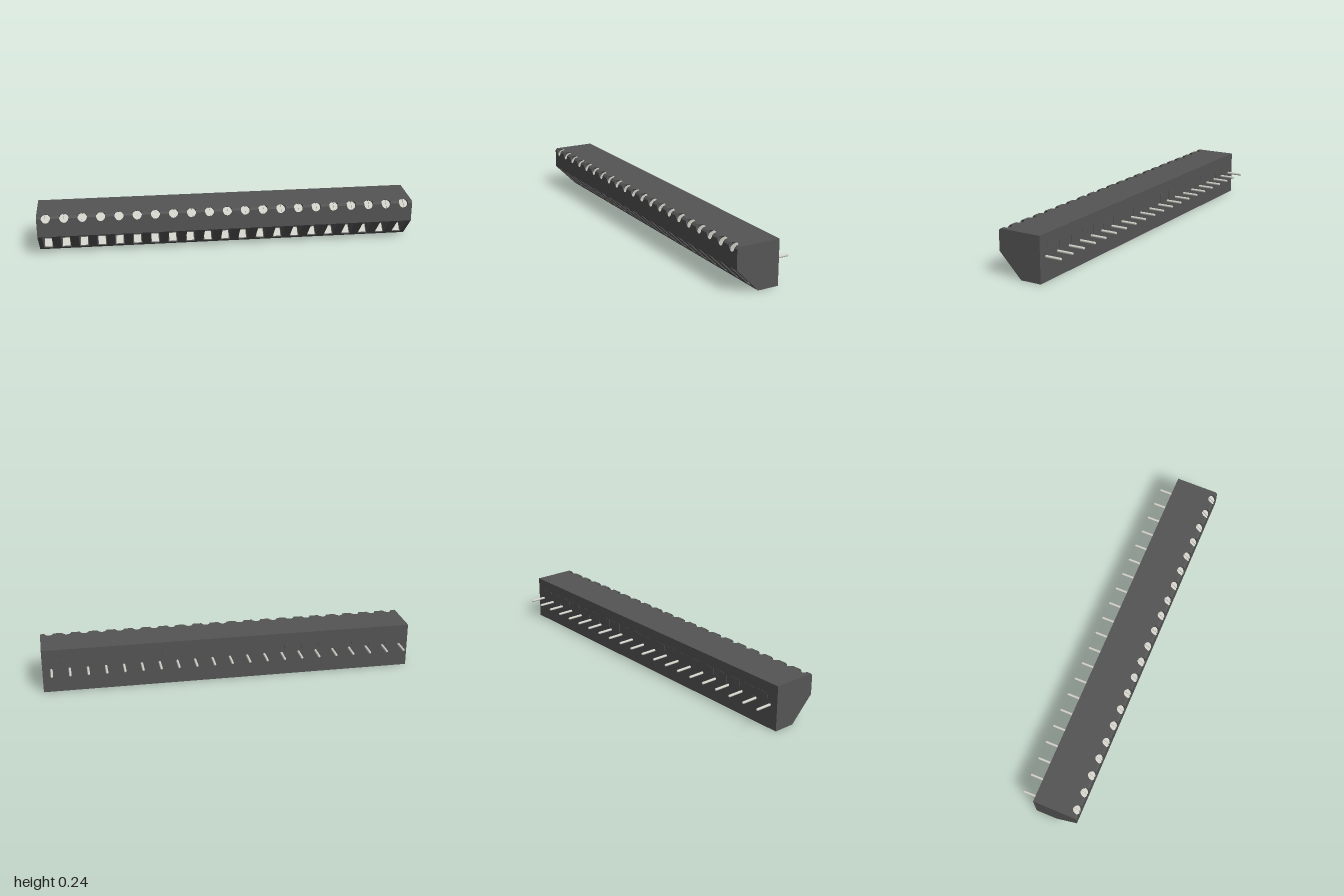
import * as THREE from 'three';

const COUNT = 21, PITCH = 2 / COUNT;
const centres = Array.from({ length: COUNT }, (_, i) => -1 + PITCH * (i + 0.5));
const TOP = 0.238, FRONT = 0.163, BACK = -0.074, KNEE = 0.125, TOE = 0.04;
const CHAMFER = 0.01, R = 0.025, HEAD = 0.024, SLOT = 0.006;

const plastic = new THREE.MeshStandardMaterial({ color: 0x555555, side: THREE.DoubleSide });
const metal = new THREE.MeshStandardMaterial({ color: 0xd0d0c8 });
const V = (x, y, z) => new THREE.Vector3(x, y, z);

function add(parent, name, geometry, material) {
  const mesh = new THREE.Mesh(geometry, material);
  mesh.name = name;
  parent.add(mesh);
  return mesh;
}

// Flat wall: shape axes u and v laid out from an origin, facing u x v
function wall(parent, name, shape, origin, u, v) {
  const m = new THREE.Matrix4().makeBasis(u, v, u.clone().cross(v)).setPosition(origin);
  add(parent, name, new THREE.ShapeGeometry(shape).applyMatrix4(m), plastic);
}

const polygon = pts => new THREE.Shape(pts.map(p => new THREE.Vector2(...p)));
const rect = (x0, y0, x1, y1) => polygon([[x0, y0], [x1, y0], [x1, y1], [x0, y1]]);

// Wall whose chamfered edge is scalloped by the screw holes
function scalloped(length) {
  const a0 = Math.asin(CHAMFER / (R * Math.SQRT2));
  const pts = [[-1, CHAMFER]];
  for (const c of centres) {
    for (let i = 0; i <= 16; i++) {
      const a = Math.PI - a0 - (Math.PI - 2 * a0) * i / 16;
      pts.push([c + R * Math.cos(a), R * Math.SQRT2 * Math.sin(a)]);
    }
  }
  pts.push([1, CHAMFER], [1, length], [-1, length]);
  return polygon(pts);
}

// Round screw hole cut at 45 degrees; local z points out of the hole
function holeGeometry() {
  const pos = [], idx = [], n = 40;
  for (let i = 0; i <= n; i++) {
    const a = i / n * Math.PI * 2, x = R * Math.cos(a), y = R * Math.sin(a);
    pos.push(x, y, -Math.max(Math.abs(y), CHAMFER / Math.SQRT2), x, y, -HEAD - SLOT);
    if (i < n) idx.push(2 * i, 2 * i + 2, 2 * i + 1, 2 * i + 1, 2 * i + 2, 2 * i + 3);
  }
  const g = new THREE.BufferGeometry();
  g.setAttribute('position', new THREE.Float32BufferAttribute(pos, 3));
  g.setIndex(idx);
  g.computeVertexNormals();
  return g;
}

// Half of a slotted screw head
function halfHeadGeometry() {
  const a = Math.acos(0.14), s = new THREE.Shape();
  s.absarc(0, 0, R - 0.0005, -a, a, false);
  s.closePath();
  return new THREE.ExtrudeGeometry(s, { depth: SLOT, bevelEnabled: false, curveSegments: 16 });
}

// Tapered wire pocket: local y runs down the slope, z goes outward
function pocketGeometry(y0, y1, depth) {
  const ring = (w, lo, hi, z) => [V(-w, lo, z), V(w, lo, z), V(w, hi, z), V(-w, hi, z)];
  const outer = ring(0.025, y0, y1, 0), inner = ring(0.02, y0 + 0.006, y1, -depth);
  const pts = [];
  const quad = (a, b, c, d) => pts.push(a, b, c, a, c, d);
  for (let i = 0; i < 4; i++) {
    const j = (i + 1) % 4;
    quad(outer[i], outer[j], inner[j], inner[i]);
  }
  quad(...inner);
  const g = new THREE.BufferGeometry().setFromPoints(pts);
  g.computeVertexNormals();
  return g;
}

export function createModel() {
  const model = new THREE.Group();
  model.name = 'terminalBlock';
  const X = V(1, 0, 0), NX = V(-1, 0, 0), Y = V(0, 1, 0), Z = V(0, 0, 1);

  // Housing walls
  const housing = new THREE.Group();
  housing.name = 'housing';
  model.add(housing);
  wall(housing, 'topWall', scalloped(FRONT - BACK), V(0, TOP, FRONT), X, V(0, 0, -1));
  wall(housing, 'frontWall', scalloped(TOP - KNEE), V(0, TOP, FRONT), NX, V(0, -1, 0));
  wall(housing, 'bottomWall', rect(-1, BACK, 1, TOE), V(0, 0, 0), X, Z);
  wall(housing, 'backWall', rect(-1, 0, 1, TOP), V(0, 0, BACK), NX, Y);
  const profile = sign => polygon([
    [FRONT, TOP - CHAMFER], [FRONT - CHAMFER, TOP], [BACK, TOP], [BACK, 0], [TOE, 0], [FRONT, KNEE],
  ].map(([z, y]) => [z * sign, y]));
  wall(housing, 'rightEnd', profile(1), V(-1, 0, 0), Z, Y);
  wall(housing, 'leftEnd', profile(-1), V(1, 0, 0), V(0, 0, -1), Y);

  // Chamfer strips between the screw holes
  const halfHole = R * Math.cos(Math.asin(CHAMFER / (R * Math.SQRT2)));
  for (let i = 0; i <= COUNT; i++) {
    const x0 = i ? centres[i - 1] + halfHole : -1;
    const x1 = i < COUNT ? centres[i] - halfHole : 1;
    wall(housing, 'chamfer', rect(x0, 0, x1, CHAMFER * Math.SQRT2),
      V(0, TOP - CHAMFER, FRONT), X, V(0, 1, -1).normalize());
  }

  // Sloping wall with the wire openings
  const slope = V(0, -KNEE, TOE - FRONT), slopeLength = slope.length();
  slope.normalize();
  const S0 = 0.007, S1 = 0.155, knee = V(0, KNEE, FRONT);
  const sloping = rect(-1, 0, 1, slopeLength);
  for (const c of centres) sloping.holes.push(rect(c - 0.025, S0, c + 0.025, S1));
  wall(housing, 'slopingWall', sloping, knee, NX, slope);

  const hole = holeGeometry(), halfHead = halfHeadGeometry();
  const slotFloor = new THREE.CircleGeometry(R, 32);
  const pocket = pocketGeometry(S0, S1, 0.085);
  const clamp = new THREE.BoxGeometry(0.038, 0.004, 0.046);
  const pin = new THREE.CapsuleGeometry(0.0068, 0.09, 6, 16).rotateX(Math.PI / 2);
  const pad = new THREE.BoxGeometry(PITCH - 0.03, 0.055, 0.003);
  const slopeFrame = new THREE.Matrix4().makeBasis(NX, slope, NX.clone().cross(slope));

  centres.forEach((c, i) => {
    // Screw in its angled hole
    const screw = new THREE.Group();
    screw.name = 'screw';
    screw.position.set(c, TOP, FRONT);
    screw.rotation.x = -Math.PI / 4;
    add(screw, 'screwHole', hole, plastic);
    add(screw, 'slotFloor', slotFloor, metal).position.z = -HEAD - SLOT;
    for (const turn of [0, Math.PI]) {
      const half = add(screw, 'screwHead', halfHead, metal);
      half.position.z = -HEAD - SLOT;
      half.rotation.z = turn;
    }
    model.add(screw);

    // Wire entry with a metal clamp on its lower side
    const entry = new THREE.Group();
    entry.name = 'wireEntry';
    entry.quaternion.setFromRotationMatrix(slopeFrame);
    entry.position.copy(knee).setX(c);
    add(entry, 'pocket', pocket, plastic);
    add(entry, 'clamp', clamp, metal).position.set(0, S1 - 0.002, -0.027);
    model.add(entry);

    // Solder pin, and a slim raised pad beside it
    add(model, 'pin', pin, metal).position.set(c, 0.125, -0.1113);
    if (i) add(housing, 'backPad', pad, plastic).position.set(c - PITCH / 2, 0.1525, BACK);
  });
  return model;
}
